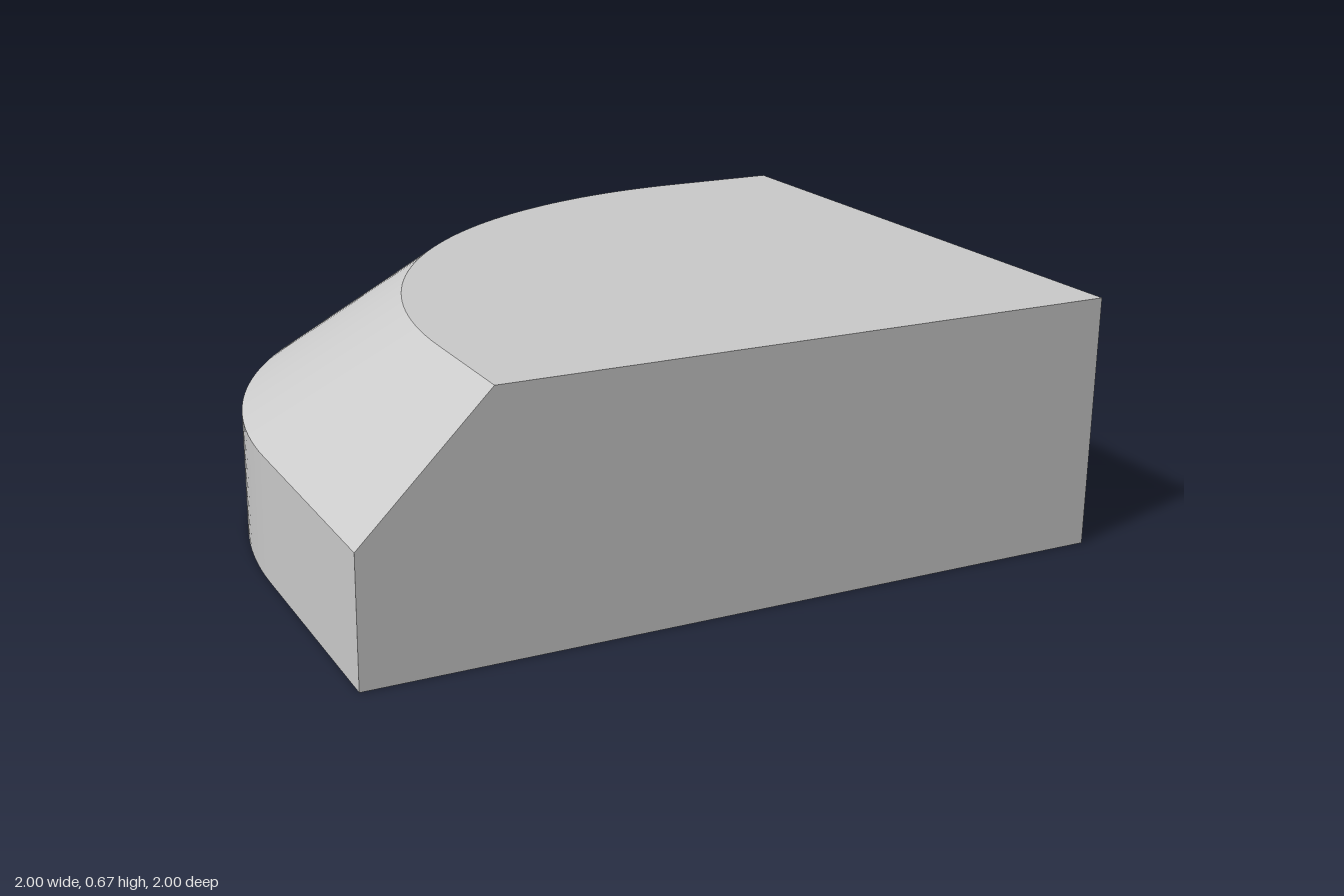
import * as THREE from 'three';

const T = 1 / 3;            // height of the upright edge and width of the bevel
const RADIUS = 4 * T;       // both rounded corners share one radius
const SEGMENTS = 48;

// Rounded outer edge as [x, z], from the front end round to the +x end
function outerEdge(inset) {
  const c = T + inset;
  const points = [[inset - 1, 1]];
  for (let i = 0; i <= SEGMENTS; i++) {
    const a = (i / SEGMENTS) * Math.PI / 2;
    points.push([c - RADIUS * Math.cos(a), c - RADIUS * Math.sin(a)]);
  }
  points.push([1, inset - 1]);
  return points;
}

// Smooth band between two matching edges
function band(lower, y0, upper, y1) {
  const positions = [], index = [];
  lower.forEach(([x, z], i) => {
    positions.push(x, y0, z, upper[i][0], y1, upper[i][1]);
    if (i) {
      const a = 2 * i - 2;
      index.push(a, a + 1, a + 2, a + 2, a + 1, a + 3);
    }
  });
  const g = new THREE.BufferGeometry();
  g.setAttribute('position', new THREE.Float32BufferAttribute(positions, 3));
  g.setIndex(index);
  g.computeVertexNormals();
  return g;
}

// Flat face from corner pairs
function face(points) {
  return new THREE.ShapeGeometry(new THREE.Shape(points.map(([x, y]) => new THREE.Vector2(x, y))));
}

export function createModel() {
  const group = new THREE.Group();
  const material = new THREE.MeshStandardMaterial({ color: 0xcccccc });
  const add = (name, geometry) => {
    const mesh = new THREE.Mesh(geometry, material);
    mesh.name = name;
    group.add(mesh);
  };

  const bottom = outerEdge(0);
  const top = outerEdge(T);

  // Rounded outside: upright rim and the bevel above it
  add('curvedRim', band(bottom, 0, bottom, T));
  add('curvedBevel', band(bottom, T, top, 2 * T));

  // Flat top and underside, closed at the square front corner
  add('topFace', face([...top, [1, 1]].map(([x, z]) => [x, -z])).rotateX(-Math.PI / 2).translate(0, 2 * T, 0));
  add('underside', face([...bottom, [1, 1]]).rotateX(Math.PI / 2));

  // Straight end walls share one bevelled profile, mirrored
  const profile = [[-1, 0], [1, 0], [1, 2 * T], [T - 1, 2 * T], [-1, T]];
  add('frontWall', face(profile).translate(0, 0, 1));
  add('leftWall', face(profile.map(([x, y]) => [-x, y])).rotateY(Math.PI / 2).translate(1, 0, 0));

  return group;
}
